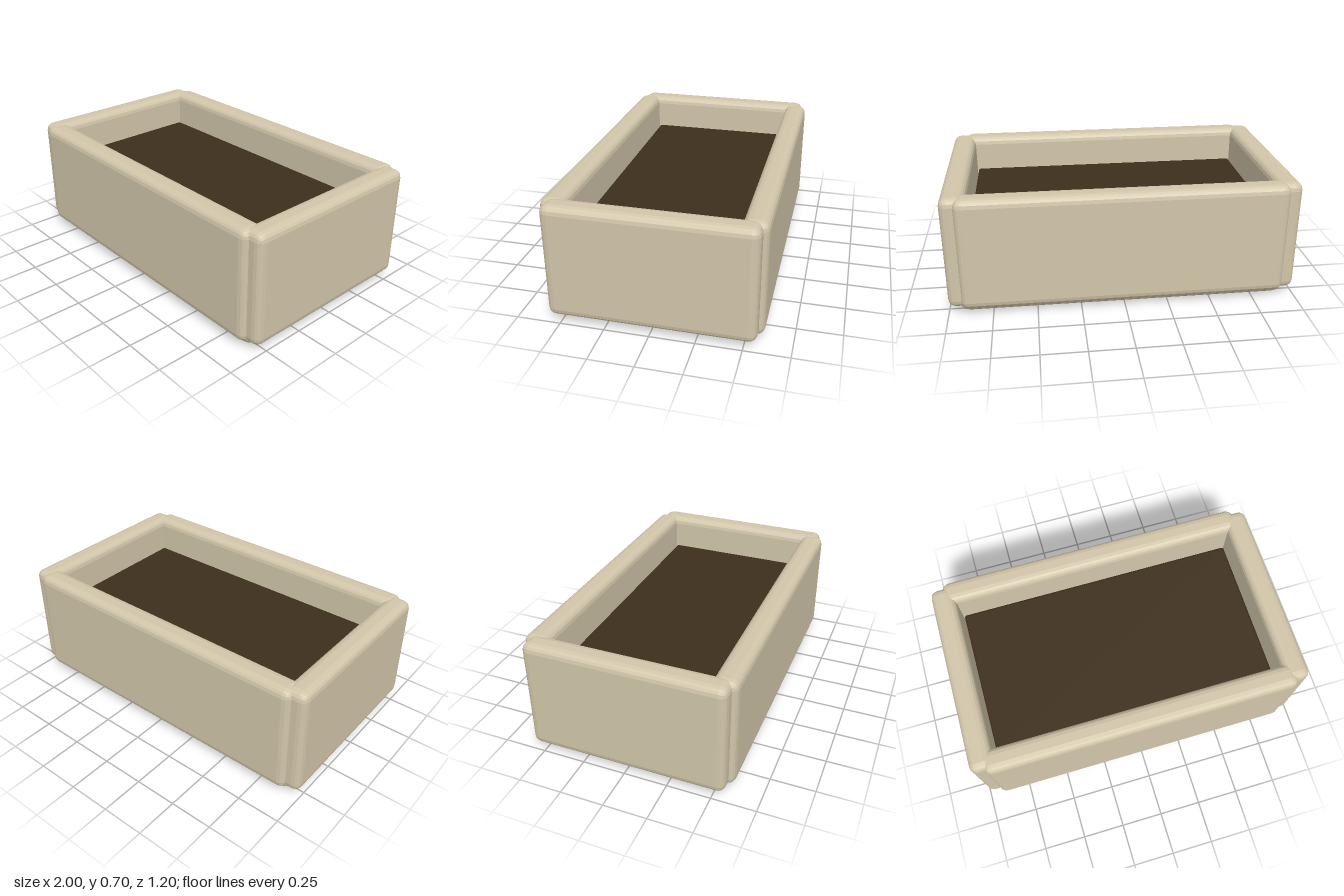
import * as THREE from 'three';
import { RoundedBoxGeometry } from 'three/addons/geometries/RoundedBoxGeometry.js';

export function createModel() {
  const planter = new THREE.Group();
  planter.name = 'planterBox';

  const stone = new THREE.MeshStandardMaterial({ color: 0xd2c6aa });
  stone.name = 'beige stone';
  const earth = new THREE.MeshStandardMaterial({ color: 0x3e2f1d });
  earth.name = 'dark soil';

  // Faceted rounded block given by its size, centre x and z, and bottom height
  function block(name, [w, h, d], [x, bottom, z], radius, material) {
    const geometry = new RoundedBoxGeometry(w, h, d, 2, radius);
    geometry.computeVertexNormals(); // unshared corners, so each bevel band is flat
    const mesh = new THREE.Mesh(geometry, material);
    mesh.name = name;
    mesh.position.set(x, bottom + h / 2, z);
    planter.add(mesh);
  }

  // Base slab with a broad bevel, slightly inset under the walls
  block('base', [1.9, 0.16, 1.14], [0, 0, 0], 0.07, stone);

  // Long and short walls, mirrored about the centre
  for (const side of [1, -1]) {
    block(side > 0 ? 'frontWall' : 'backWall', [1.85, 0.66, 0.14], [0, 0.04, side * 0.53], 0.045, stone);
    block(side > 0 ? 'leftWall' : 'rightWall', [0.14, 0.66, 1.14], [side * 0.93, 0.04, 0], 0.045, stone);
  }

  // Soil filling the box below the rim
  block('soil', [1.704, 0.4, 0.9], [0, 0.095, 0], 0.015, earth);

  return planter;
}
